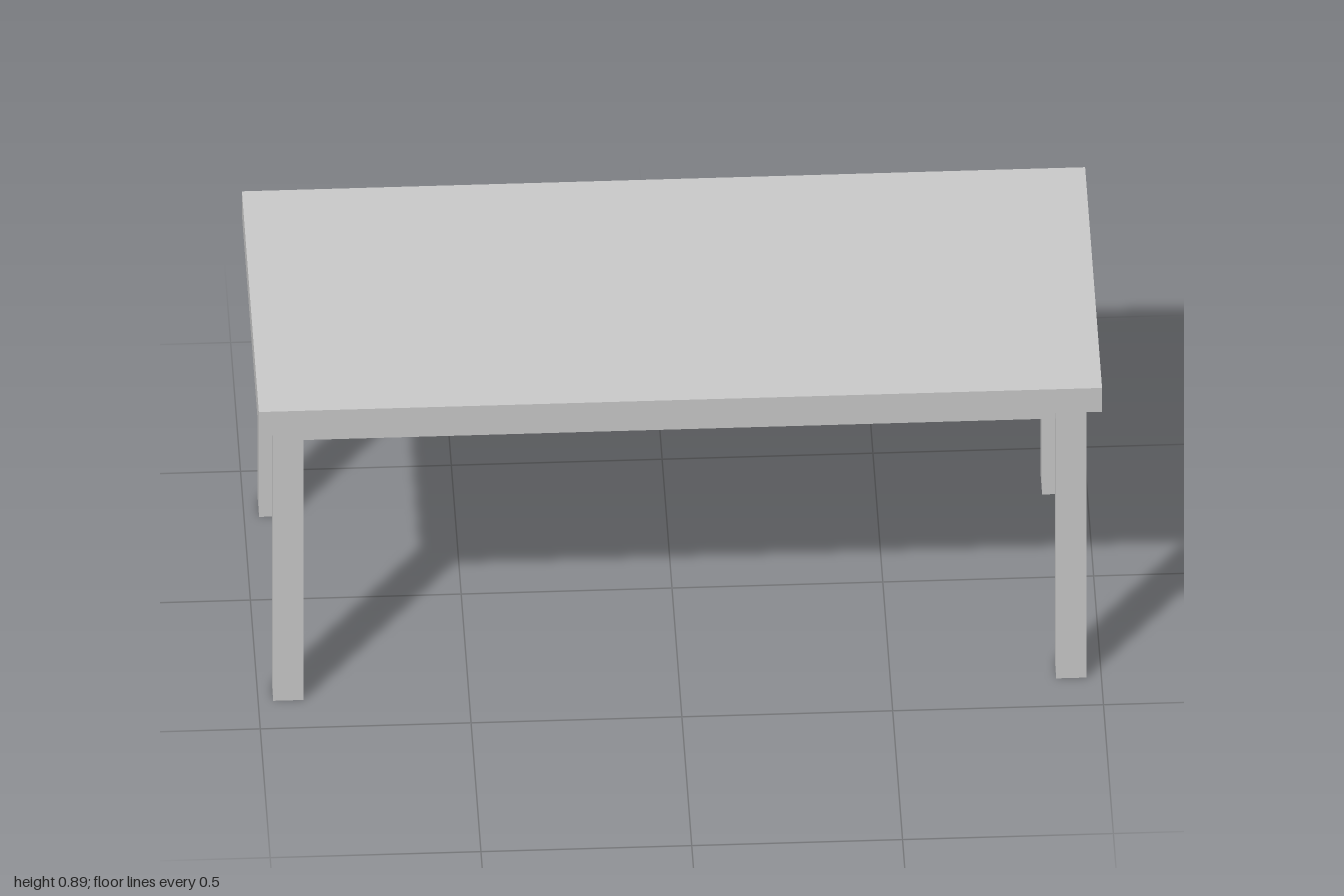
import * as THREE from 'three';

const material = new THREE.MeshStandardMaterial({ color: 0xcccccc, flatShading: true });

// Box given by its size and centre
function box(name, size, position) {
  const mesh = new THREE.Mesh(new THREE.BoxGeometry(...size), material);
  mesh.name = name;
  mesh.position.set(...position);
  return mesh;
}

export function createModel() {
  const table = new THREE.Group();
  table.name = 'table';

  const height = 0.893, slab = 0.0714, leg = 0.0714, rail = 0.0357;
  const depth = 0.857;
  const under = height - slab; // underside of the top
  const legX = 0.9286, legZ = 0.357; // leg centres
  const innerX = legX - leg / 2, innerZ = legZ - leg / 2;
  const railY = under - slab / 2;

  table.add(box('tableTop', [2, slab, depth], [0, height - slab / 2, 0]));

  // Legs at the four corners
  for (const [sideX, s] of [['Left', 1], ['Right', -1]]) {
    for (const [sideZ, t] of [['front', 1], ['back', -1]]) {
      table.add(box(`${sideZ}${sideX}Leg`, [leg, under, leg], [s * legX, under / 2, t * legZ]));
    }
  }

  // Aprons between the legs, flush with their inner faces
  for (const s of [1, -1]) {
    table.add(box(s > 0 ? 'frontApron' : 'backApron',
      [2 * innerX, slab, rail], [0, railY, s * (innerZ + rail / 2)]));
    table.add(box(s > 0 ? 'leftApron' : 'rightApron',
      [rail, slab, 2 * innerZ], [s * (innerX + rail / 2), railY, 0]));
  }

  return table;
}
